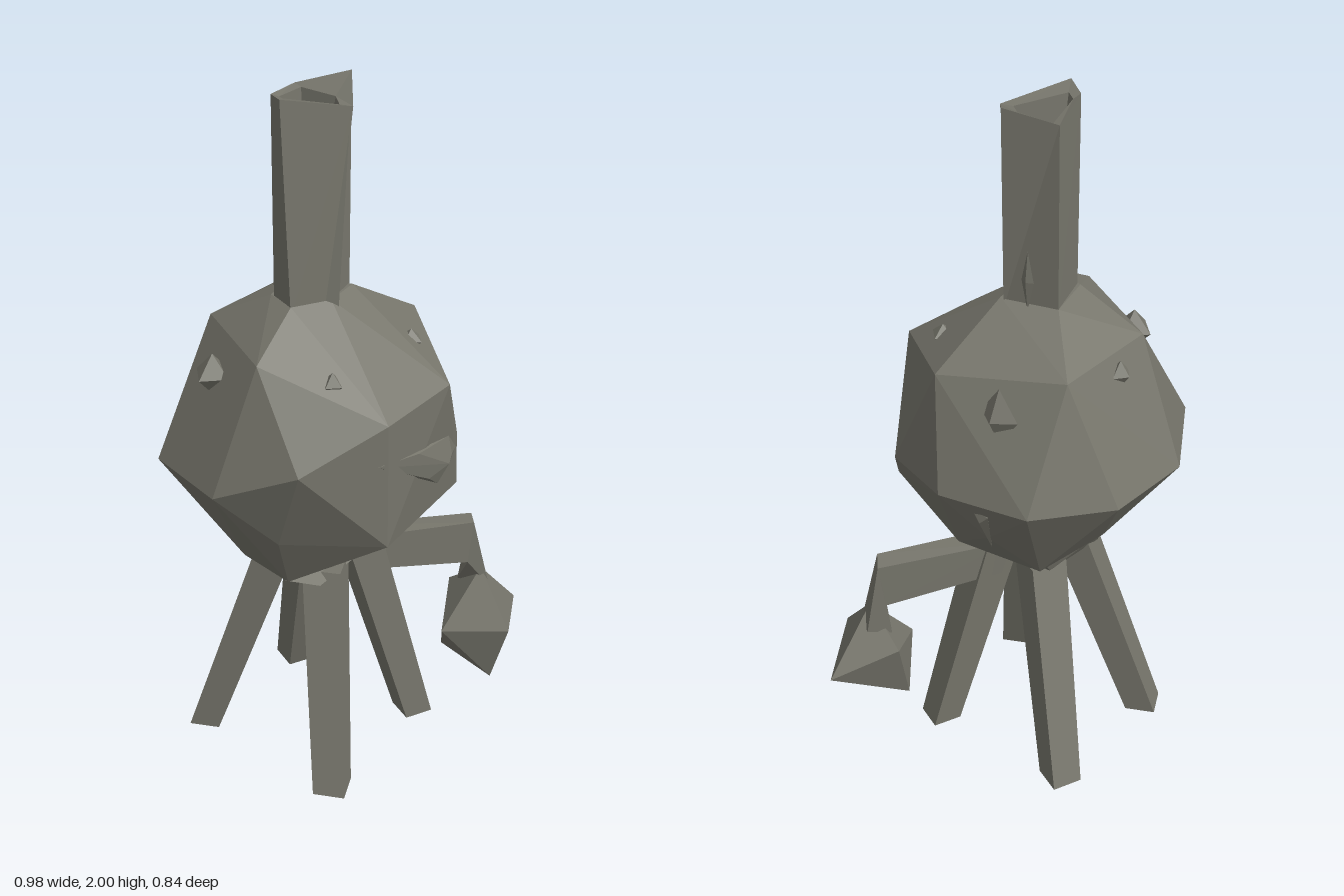
import * as THREE from 'three';
import { ConvexGeometry } from 'three/addons/geometries/ConvexGeometry.js';

const material = new THREE.MeshStandardMaterial({ color: 0x77766c, flatShading: true, side: THREE.DoubleSide });
const vec = (p) => new THREE.Vector3(...p);

function add(parent, name, geometry) {
  const mesh = new THREE.Mesh(geometry, material);
  mesh.name = name;
  parent.add(mesh);
  return mesh;
}

// Faceted solid around a few corner points
const hull = (points) => new ConvexGeometry(points.map(vec));

// Skin through rings of equal size, closed by a fan on the last ring
function loft(rings) {
  const out = [];
  const n = rings[0].length;
  for (let r = 0; r < rings.length - 1; r++) {
    for (let i = 0; i < n; i++) {
      const j = (i + 1) % n;
      const [a, b, c, d] = [rings[r][i], rings[r][j], rings[r + 1][j], rings[r + 1][i]];
      out.push(...a, ...b, ...c, ...a, ...c, ...d);
    }
  }
  const last = rings[rings.length - 1];
  const mid = [0, 1, 2].map((k) => last.reduce((s, p) => s + p[k], 0) / n);
  for (let i = 0; i < n; i++) out.push(...last[i], ...last[(i + 1) % n], ...mid);
  const g = new THREE.BufferGeometry();
  g.setAttribute('position', new THREE.Float32BufferAttribute(out, 3));
  g.computeVertexNormals();
  return g;
}

// Level square of corner points around a centre
function square([x, y, z], radius, turn) {
  return [0, 1, 2, 3].map((i) => {
    const a = turn + (i * Math.PI) / 2;
    return [x + radius * Math.cos(a), y, z + radius * Math.sin(a)];
  });
}

export function createModel() {
  const model = new THREE.Group();
  model.name = 'walkingHut';

  // Round faceted body, ring by ring from the top
  add(model, 'body', hull([
    [-0.2, 1.43, 0.01], [-0.1, 1.43, 0.065], [0.01, 1.43, 0.05], [-0.03, 1.43, -0.11], [-0.17, 1.43, -0.08],
    [-0.36, 1.33, 0.025], [-0.2, 1.33, -0.265], [0.12, 1.33, -0.25], [0.24, 1.29, 0.09],
    [-0.22, 1.2, 0.34], [0.03, 1.22, 0.355], [-0.42, 1.09, 0.205],
    [-0.49, 0.98, -0.025], [-0.42, 0.98, -0.275], [-0.17, 0.98, -0.42], [0.09, 0.98, -0.4],
    [0.285, 0.99, -0.245], [0.325, 0.98, 0.02], [0.23, 0.95, 0.25],
    [-0.21, 0.83, 0.335], [0.16, 0.84, 0.3], [-0.375, 0.83, 0.1], [0.24, 0.83, -0.08],
    [-0.3, 0.66, 0.07], [0.12, 0.65, 0.12], [0.11, 0.67, -0.16], [-0.12, 0.68, -0.21], [-0.28, 0.67, -0.1],
  ]));

  // Chimney with an uneven rim and a shallow mouth set to one side
  const foot = [[-0.2, 1.4, 0.01], [-0.1, 1.4, 0.065], [0.01, 1.4, 0.04], [-0.03, 1.4, -0.11], [-0.17, 1.4, -0.07]];
  const rim = [[-0.21, 1.99, -0.01], [-0.05, 1.95, 0.095], [0.05, 2, 0.015], [-0.025, 1.96, -0.11], [-0.17, 1.98, -0.07]];
  const lip = [[-0.165, 1.975, -0.035], [-0.06, 1.95, 0.06], [-0.03, 1.955, 0.025], [-0.03, 1.955, -0.085], [-0.15, 1.97, -0.06]];
  const pit = lip.map(([x, , z]) => [-0.09 + (x + 0.09) * 0.8, 1.86, -0.02 + (z + 0.02) * 0.8]);
  add(model, 'chimney', loft([foot, rim, lip, pit]));
  add(model, 'chimneyRidge', hull([[-0.055, 1.94, 0.09], [-0.12, 1.42, 0.05], [-0.095, 1.41, 0.085], [-0.07, 1.43, 0.06]]));

  // Small knobs: position, half sizes
  const knobs = [
    ['frontKnob', [-0.245, 1.28, 0.18], [0.03, 0.035, 0.03]],
    ['frontKnob', [0.07, 1.29, 0.2], [0.035, 0.03, 0.035]],
    ['sideKnob', [-0.33, 1.24, -0.15], [0.055, 0.06, 0.055]],
    ['sideKnob', [0.212, 1.22, -0.1], [0.042, 0.085, 0.06]],
    ['backKnob', [-0.075, 1.275, -0.28], [0.035, 0.04, 0.03]],
    ['chimneySpike', [-0.002, 1.5, -0.03], [0.01, 0.09, 0.02]],
  ];
  for (const [name, position, size] of knobs) {
    const knob = add(model, name, new THREE.OctahedronGeometry(1));
    knob.position.set(...position);
    knob.scale.set(...size);
  }
  add(model, 'sideSpike', hull([
    [0.29, 0.955, -0.065], [0.29, 0.945, -0.12], [0.295, 0.92, -0.095], [0.215, 0.78, -0.075], [0.25, 0.93, -0.09],
  ]));

  // Crooked mouth on the front
  add(model, 'mouth', hull([
    [-0.25, 1.09, 0.33], [-0.1, 1.07, 0.352], [0.04, 1.06, 0.35], [0.04, 1.01, 0.362], [0.12, 0.98, 0.32],
    [0.0, 0.93, 0.345], [-0.05, 0.97, 0.352], [0.02, 0.99, 0.368],
  ]));

  // Hub under the body
  add(model, 'hip', hull([
    [-0.3, 0.66, 0.06], [0.12, 0.65, 0.12], [0.08, 0.67, -0.16], [-0.12, 0.68, -0.2],
    [-0.21, 0.615, 0.11], [-0.17, 0.61, -0.16], [0.05, 0.63, -0.15], [-0.04, 0.61, -0.02], [0.06, 0.63, 0.08],
  ]));

  // Four splayed legs: hip centre, foot centre, foot size
  const legs = [
    ['frontLeftLeg', [0.02, 0.64, 0.065], [0.165, 0, 0.165], 0.06],
    ['frontRightLeg', [-0.135, 0.64, 0.07], [-0.275, 0, 0.2], 0.064],
    ['backLeftLeg', [0.02, 0.64, -0.095], [0.163, 0, -0.278], 0.062],
    ['backRightLeg', [-0.13, 0.64, -0.1], [-0.245, 0, -0.288], 0.062],
  ];
  for (const [name, top, bottom, size] of legs) {
    const turn = bottom[0] > 0 ? -0.35 : 0.35;
    add(model, name, hull([...square(top, 0.076, turn), ...square(bottom, size, turn)]));
  }

  // Bent arm holding a gem
  const arm = new THREE.Group();
  arm.name = 'arm';
  model.add(arm);
  const elbow = [[0.335, 0.63, 0.24], [0.29, 0.635, 0.28], [0.32, 0.49, 0.23], [0.28, 0.5, 0.27]];
  add(arm, 'upperArm', hull([[0.03, 0.65, 0.0], [-0.02, 0.65, 0.06], [0.05, 0.54, 0.02], [0.01, 0.54, 0.08], ...elbow]));
  add(arm, 'forearm', hull([...elbow, [0.37, 0.41, 0.26], [0.33, 0.41, 0.315], [0.32, 0.4, 0.21]]));
  add(arm, 'gem', hull([
    [0.32, 0.47, 0.29], [0.488, 0.285, 0.305], [0.285, 0.13, 0.36], [0.29, 0.17, 0.18],
    [0.185, 0.3, 0.25], [0.28, 0.32, 0.42], [0.345, 0.37, 0.165],
  ]));

  return model;
}
